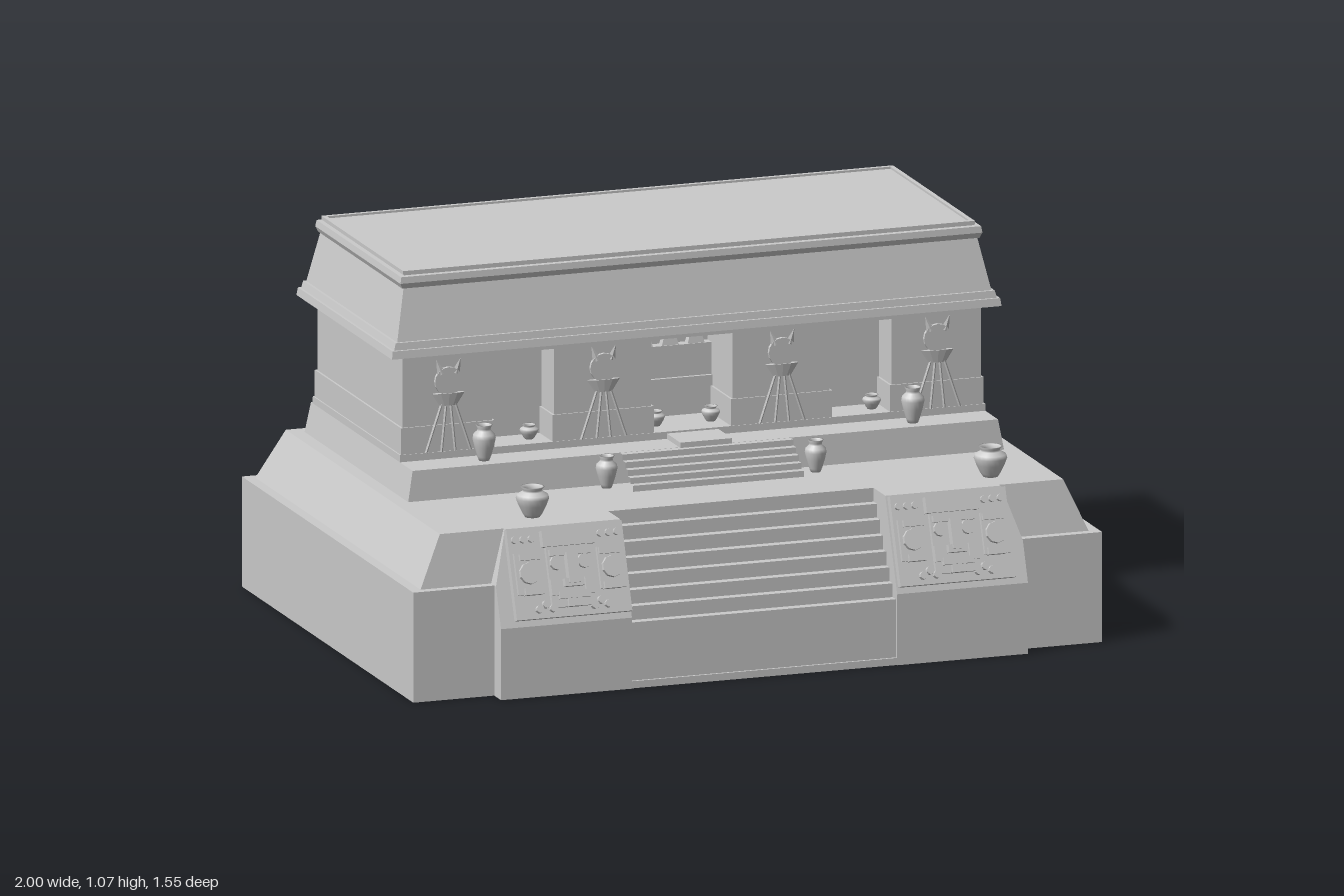
import * as THREE from 'three';

const mat = new THREE.MeshStandardMaterial({ color: 0xcccccc, flatShading: true, side: THREE.DoubleSide });
const smooth = new THREE.MeshStandardMaterial({ color: 0xcccccc, side: THREE.DoubleSide });

function add(parent, name, geo, x = 0, y = 0, z = 0, m = mat) {
  const mesh = new THREE.Mesh(geo, m);
  mesh.name = name;
  mesh.position.set(x, y, z);
  parent.add(mesh);
  return mesh;
}

// box given by its limits
function block(parent, name, x0, x1, y0, y1, z0, z1) {
  return add(parent, name, new THREE.BoxGeometry(x1 - x0, y1 - y0, z1 - z0),
    (x0 + x1) / 2, (y0 + y1) / 2, (z0 + z1) / 2);
}

// skin between rings; each ring is { y, pts: [[x, z], ...] }
function loft(rings, closed = true) {
  const pos = [];
  for (let r = 0; r < rings.length - 1; r++) {
    const lo = rings[r], hi = rings[r + 1], n = lo.pts.length;
    for (let i = 0; i < (closed ? n : n - 1); i++) {
      const j = (i + 1) % n;
      const a = [lo.pts[i][0], lo.y, lo.pts[i][1]], b = [lo.pts[j][0], lo.y, lo.pts[j][1]];
      const c = [hi.pts[j][0], hi.y, hi.pts[j][1]], d = [hi.pts[i][0], hi.y, hi.pts[i][1]];
      pos.push(...a, ...b, ...c, ...a, ...c, ...d);
    }
  }
  const g = new THREE.BufferGeometry();
  g.setAttribute('position', new THREE.Float32BufferAttribute(pos, 3));
  g.computeVertexNormals();
  return g;
}

function cap(parent, name, ring) {
  const shape = new THREE.Shape(ring.pts.map(([x, z]) => new THREE.Vector2(x, -z)));
  add(parent, name, new THREE.ShapeGeometry(shape).rotateX(-Math.PI / 2), 0, ring.y, 0);
}

// rectangular moulding from rows of [y, half width, front z, back z]
function tier(parent, name, rows) {
  const rings = rows.map(([y, x, f, b]) => ({ y, pts: [[x, f], [x, b], [-x, b], [-x, f]] }));
  add(parent, name, loft(rings));
  cap(parent, name + 'Top', rings[rings.length - 1]);
  cap(parent, name + 'Bottom', rings[0]);
}

// open flight of steps, from the top edge down to the lowest tread
function steps(parent, name, halfWidth, zTop, zEnd, yTop, yEnd, count, foot) {
  const rings = [];
  const row = (y, z) => rings.unshift({ y, pts: [[-halfWidth, z], [halfWidth, z]] });
  const dz = (zEnd - zTop) / count, dy = (yTop - yEnd) / count;
  row(yTop, zTop);
  for (let i = 0; i < count; i++) {
    row(yTop - i * dy, zTop + (i + 1) * dz);
    row(yTop - (i + 1) * dy, zTop + (i + 1) * dz);
  }
  row(foot, zEnd);
  add(parent, name, loft(rings, false));
}

const POT = [[0, 0], [0.45, 0], [0.6, 0.12], [0.85, 0.4], [1, 0.62], [0.93, 0.74], [0.6, 0.84],
  [0.56, 0.9], [0.72, 1], [0.6, 1], [0.45, 0.88], [0.5, 0.6], [0, 0.5]];
function pot(parent, x, y, z, r, h) {
  const pts = POT.map(([a, b]) => new THREE.Vector2(a * r, b * h));
  add(parent, 'pot', new THREE.LatheGeometry(pts, 20), x, y, z, smooth);
}

// carved face panel lying on a sloping balustrade
function maskPanel() {
  const g = new THREE.Group();
  g.name = 'maskPanel';
  const b = (n, x, y, w, h, d) => block(g, n, x - w / 2, x + w / 2, y - h / 2, y + h / 2, 0, d);
  const disc = (n, x, y, r, d) =>
    add(g, n, new THREE.CylinderGeometry(r, r * 1.1, d, 10).rotateX(Math.PI / 2), x, y, d / 2);
  b('slab', 0, 0, 0.335, 0.25, 0.022);
  b('face', 0, -0.005, 0.13, 0.19, 0.036);
  b('headband', 0, 0.09, 0.15, 0.045, 0.046);
  b('brow', 0, 0.05, 0.12, 0.018, 0.05);
  b('nose', 0, 0.005, 0.032, 0.085, 0.062);
  b('nostrils', 0, -0.035, 0.055, 0.022, 0.056);
  b('mouth', 0, -0.068, 0.09, 0.02, 0.05);
  b('tooth', 0, -0.088, 0.04, 0.025, 0.046);
  for (const s of [-1, 1]) {
    disc('eye', s * 0.04, 0.022, 0.02, 0.048);
    b('cheek', s * 0.05, -0.045, 0.03, 0.045, 0.045);
    b('earPlate', s * 0.12, 0.0, 0.075, 0.115, 0.034);
    disc('earDisc', s * 0.12, 0.0, 0.03, 0.046);
    b('earTop', s * 0.115, 0.045, 0.06, 0.018, 0.044);
    b('earDrop', s * 0.115, -0.05, 0.05, 0.02, 0.044);
    for (let i = 0; i < 3; i++) {
      disc('claw', s * (0.06 + i * 0.02), -0.1 + (i % 2) * 0.012, 0.011, 0.036);
      disc('bead', s * (0.1 + i * 0.024), 0.095, 0.01, 0.032);
    }
  }
  return g;
}

// brazier on three legs, carved flat against a pillar
function brazier() {
  const g = new THREE.Group();
  g.name = 'brazier';
  for (const [top, foot] of [[-0.018, -0.065], [-0.006, -0.02], [0.006, 0.02], [0.018, 0.065]]) {
    const path = new THREE.LineCurve3(new THREE.Vector3(top, 0.14, 0.003), new THREE.Vector3(foot, 0, 0.003));
    add(g, 'leg', new THREE.TubeGeometry(path, 1, 0.004, 5));
  }
  add(g, 'bowl', new THREE.CylinderGeometry(0.048, 0.025, 0.035, 12).scale(1, 1, 0.2), 0, 0.147, 0.003);
  add(g, 'head', new THREE.CylinderGeometry(0.04, 0.04, 0.01, 16).rotateX(Math.PI / 2), 0, 0.198, 0.004);
  for (const s of [-1, 1]) {
    const flame = add(g, 'flame', new THREE.ConeGeometry(0.014, 0.045, 5).scale(1, 1, 0.5), s * 0.028, 0.24, 0.004);
    flame.rotation.z = -s * 0.35;
  }
  return g;
}

export function createModel() {
  const model = new THREE.Group();
  model.name = 'temple';

  // hollow base: outline with balustrades, a stair notch and a rear projection
  // columns: y, half width, front z, back z, balustrade x and z, rear x and z
  const base = [
    [0, 1, 0.69, -0.69, 0.765, 0.745, 0.765, -0.775],
    [0.2, 1, 0.69, -0.69, 0.765, 0.745, 0.765, -0.775],
    [0.31, 1, 0.69, -0.69, 0.765, 0.704, 0.765, -0.705],
    [0.31, 0.97, 0.665, -0.665, 0.765, 0.704, 0.765, -0.705],
    [0.455, 0.905, 0.64, -0.6, 0.72, 0.65, 0.71, -0.61],
  ].map(([y, x, f, b, px, pz, rx, rz]) => {
    const half = [[0.385, 0.53], [0.385, pz], [px, pz], [px, f], [x, f], [x, b], [rx, b], [rx, rz]];
    return { y, pts: [...half, ...half.map(([a, c]) => [-a, c]).reverse()] };
  });
  add(model, 'base', loft(base, false));
  cap(model, 'terrace', base[4]);
  steps(model, 'mainStairs', 0.385, 0.53, 0.735, 0.455, 0.145, 8, 0.02);
  block(model, 'stairKerb', -0.385, 0.385, 0, 0.02, 0.715, 0.742);

  // face panels
  for (const s of [-1, 1]) {
    const mask = maskPanel();
    mask.position.set(s * 0.557, 0.334, 0.697);
    mask.rotation.x = -Math.atan(0.095 / 0.255);
    model.add(mask);
  }

  // upper platform with its short stair
  tier(model, 'platform', [[0.455, 0.865, 0.275, -0.56], [0.54, 0.85, 0.268, -0.55]]);
  steps(model, 'upperStairs', 0.248, 0.27, 0.375, 0.54, 0.455, 5, 0.455);
  block(model, 'doorstep', -0.075, 0.075, 0.54, 0.555, 0.15, 0.275);

  // chamber: rear mass, plinth, pillars and recess walls
  tier(model, 'plinth', [[0.54, 0.85, 0.166, -0.54], [0.56, 0.85, 0.166, -0.535]]);
  block(model, 'rearWall', -0.84, 0.84, 0.56, 0.84, -0.525, -0.04);
  block(model, 'rearDado', -0.846, 0.846, 0.56, 0.635, -0.531, -0.04);
  block(model, 'lintel', -0.84, 0.84, 0.82, 0.84, -0.04, 0.16);
  for (const s of [-1, 1]) {
    for (const [a, b] of [[0.58, 0.84], [0.118, 0.4]]) {
      const [x0, x1] = s > 0 ? [a, b] : [-b, -a];
      block(model, 'pillar', x0, x1, 0.56, 0.82, -0.04, 0.16);
      block(model, 'pillarDado', x0 - 0.006, x1 + 0.006, 0.56, 0.635, -0.04, 0.164);
      const fire = brazier();
      fire.position.set((x0 + x1) / 2, 0.56, 0.164);
      model.add(fire);
    }
    block(model, 'recessWall', s * 0.49 - 0.09, s * 0.49 + 0.09, 0.56, 0.82, -0.04, 0.06);
  }

  // altar in the middle chamber
  block(model, 'altar', -0.118, 0.118, 0.56, 0.665, -0.04, 0);
  block(model, 'altarBack', -0.118, 0.118, 0.665, 0.755, -0.04, -0.01);
  for (const x of [-0.075, 0, 0.075]) {
    const merlon = new THREE.CylinderGeometry(0.02, 0.035, 0.035, 4, 1).rotateY(Math.PI / 4).scale(1, 1, 0.5);
    add(model, 'merlon', merlon, x, 0.772, -0.025);
  }

  // cornice, sloping frieze and roof rim
  tier(model, 'cornice', [[0.84, 0.885, 0.2, -0.57], [0.862, 0.882, 0.197, -0.567],
    [0.862, 0.875, 0.19, -0.56], [0.882, 0.87, 0.187, -0.558]]);
  tier(model, 'frieze', [[0.88, 0.863, 0.18, -0.553], [1.03, 0.832, 0.147, -0.52]]);
  tier(model, 'roofBand', [[1.025, 0.838, 0.152, -0.525], [1.04, 0.845, 0.157, -0.53], [1.058, 0.842, 0.155, -0.527]]);
  tier(model, 'roof', [[1.058, 0.828, 0.137, -0.522], [1.064, 0.828, 0.137, -0.522]]);
  for (const s of [-1, 1]) {
    block(model, 'roofRimSide', s * 0.824 - 0.006, s * 0.824 + 0.006, 1.06, 1.07, -0.522, 0.137);
  }
  block(model, 'roofRimFront', -0.828, 0.828, 1.06, 1.07, 0.125, 0.137);
  block(model, 'roofRimBack', -0.828, 0.828, 1.06, 1.07, -0.522, -0.51);

  // pots: x, y, z, radius, height
  for (const p of [
    [-0.6, 0.455, 0.54, 0.046, 0.085], [0.73, 0.455, 0.54, 0.046, 0.085],
    [-0.3, 0.455, 0.305, 0.03, 0.09], [0.298, 0.455, 0.33, 0.03, 0.09],
    [-0.625, 0.54, 0.22, 0.032, 0.1], [0.62, 0.54, 0.22, 0.032, 0.1],
    [-0.08, 0.56, 0.09, 0.026, 0.042], [0.08, 0.56, 0.09, 0.026, 0.042],
    [-0.455, 0.56, 0.11, 0.026, 0.04], [0.54, 0.56, 0.11, 0.026, 0.04],
  ]) pot(model, ...p);

  return model;
}
